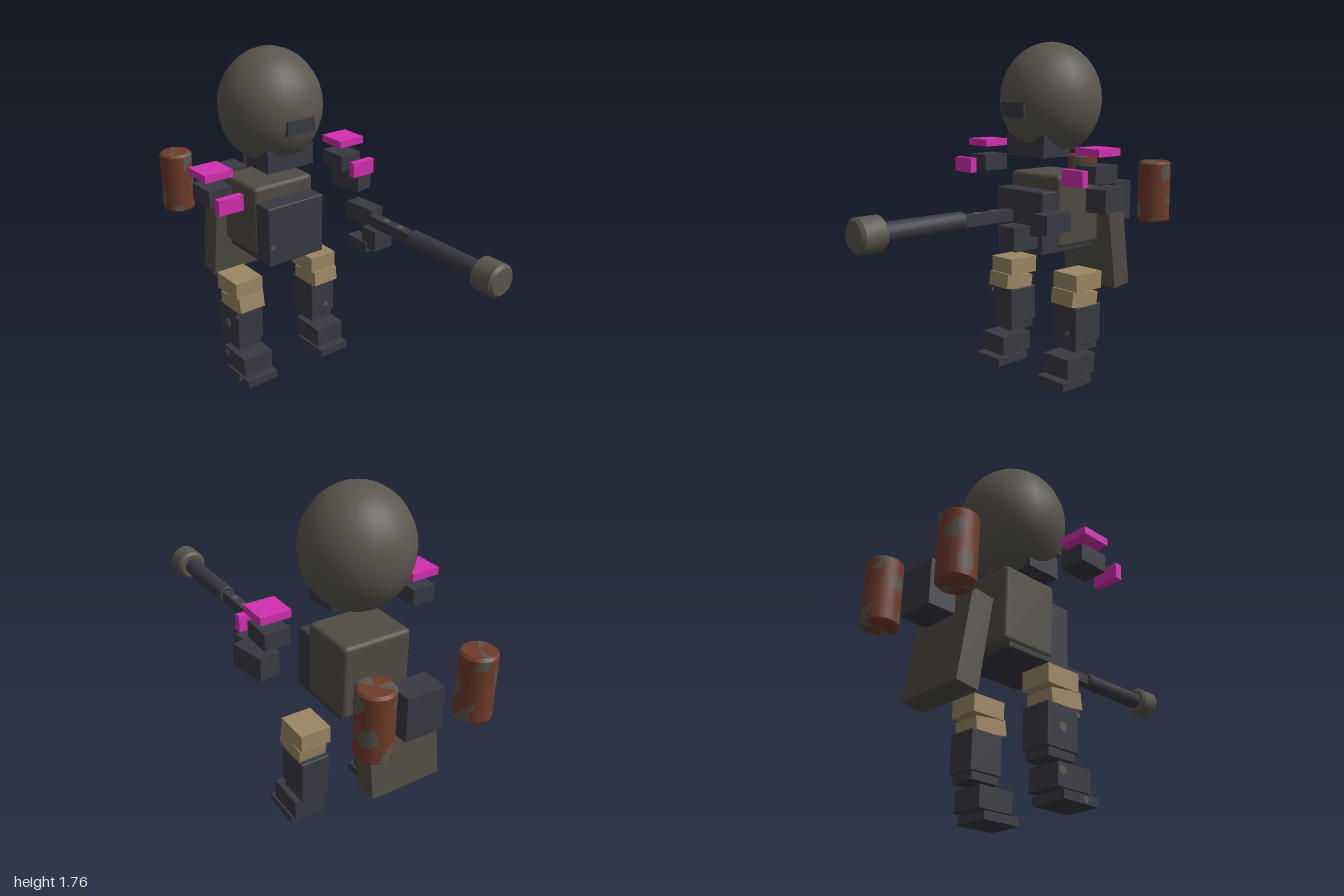
import * as THREE from 'three';
import { toCreasedNormals } from 'three/addons/utils/BufferGeometryUtils.js';
import { RoundedBoxGeometry } from 'three/addons/geometries/RoundedBoxGeometry.js';

const MID = 0.026; // z of the body's mirror plane

function material(name, color) {
  const m = new THREE.MeshStandardMaterial({ color });
  m.name = name;
  return m;
}

// Cylinder with small bevels; with a second material, wavy patches of worn paint
function drum(radius, height, bevel, mats, seed = 0, sides = 28, rows = 20) {
  const h = height / 2;
  const pts = [new THREE.Vector2(0, -h), new THREE.Vector2(radius - bevel, -h)];
  for (let i = 0; i <= rows; i++) pts.push(new THREE.Vector2(radius, -h + bevel + (height - 2 * bevel) * i / rows));
  pts.push(new THREE.Vector2(radius - bevel, h), new THREE.Vector2(0, h));
  const geo = toCreasedNormals(new THREE.LatheGeometry(pts, sides), 0.6);
  if (mats.length > 1) {
    const n = pts.length - 1;
    for (let s = 0; s < sides; s++) for (let j = 0; j < n; j++) {
      const a = s / sides * Math.PI * 2;
      const y = pts[j].y;
      const v = Math.sin(2 * a + 14 * y + seed) + Math.sin(3 * a - 31 * y + 2 * seed) + 0.6 * Math.sin(a + 40 * y);
      geo.addGroup((s * n + j) * 6, 6, v > 1.0 ? 1 : 0);
    }
  }
  return new THREE.Mesh(geo, mats.length > 1 ? mats : mats[0]);
}

export function createModel() {
  const root = new THREE.Group();
  const dark = material('dark metal', 0x393942);
  const worn = material('worn grey brown', 0x5b564e);
  const cloth = material('body grey brown', 0x514c44);
  const rust = material('rust red', 0x6f3b29);
  const tan = material('tan', 0x9c8763);
  const pink = material('magenta', 0xd42fb0);

  // Box given by its low and high limits on each axis
  function box(name, mat, [x0, x1], [y0, y1], [z0, z1], round = 0) {
    const s = [x1 - x0, y1 - y0, z1 - z0];
    const geo = round ? new RoundedBoxGeometry(...s, 2, round) : new THREE.BoxGeometry(...s);
    const m = new THREE.Mesh(geo, mat);
    m.position.set((x0 + x1) / 2, (y0 + y1) / 2, (z0 + z1) / 2);
    m.name = name;
    root.add(m);
    return m;
  }

  // Head, visor and jaw
  const head = new THREE.Mesh(new THREE.SphereGeometry(1, 20, 16), worn);
  head.scale.set(0.27, 0.297, 0.27);
  head.position.set(-0.37, 1.467, 0.025);
  head.name = 'head';
  root.add(head);
  box('visor', dark, [-0.17, -0.1], [1.38, 1.455], [-0.055, 0.108]);
  box('jaw', dark, [-0.38, -0.19], [1.175, 1.29], [-0.11, 0.17]);

  // Torso
  box('torso', cloth, [-0.56, -0.255], [0.705, 1.085], [-0.157, 0.212], 0.022);
  box('chest', dark, [-0.525, -0.15], [0.68, 1.005], [-0.145, 0.203], 0.008);

  // Back plate, pack and tanks
  const plate = box('backPlate', cloth, [-0.786, -0.668], [0.423, 0.881], [-0.162, 0.214]);
  plate.rotation.z = -0.14;
  box('pack', dark, [-0.915, -0.775], [0.78, 1.0], [-0.077, 0.123]);
  for (const side of [-1, 1]) {
    const tank = drum(0.088, 0.335, 0.012, [rust, worn], side + 2);
    tank.position.set(-0.913, 0.958, MID + side * 0.272);
    tank.name = side > 0 ? 'leftTank' : 'rightTank';
    root.add(tank);
  }

  // Legs and shoulders, mirrored across the body
  for (const side of [-1, 1]) {
    const span = (c, half) => [MID + side * c - half, MID + side * c + half];
    box('upperThigh', tan, [-0.43, -0.243], [0.497, 0.588], span(0.246, 0.082));
    const lower = box('lowerThigh', tan, [-0.405, -0.22], [0.413, 0.493], span(0.248, 0.076));
    lower.rotation.z = 0.13;
    box('shin', dark, [-0.43, -0.245], [0.214, 0.417], span(0.247, 0.079), 0.006);
    box('ankle', dark, [-0.417, -0.257], [0.176, 0.216], span(0.247, 0.07));
    box('foot', dark, [-0.38, -0.18], [0.05, 0.157], span(0.248, 0.088));
    box('sole', dark, [-0.352, -0.14], [0, 0.042], span(0.248, 0.094));
    box('shoulder', dark, [-0.368, -0.21], [1.07, 1.157], span(0.41, 0.065));
    box('shoulderPad', pink, [-0.365, -0.21], [1.204, 1.242], span(0.414, 0.078));
    box('shoulderFlap', pink, [-0.145, -0.108], [1.065, 1.145], span(0.415, 0.069));
  }

  // Right arm
  const arm = box('upperArm', dark, [-0.38, -0.19], [0.937, 1.053], [-0.504, -0.394]);
  arm.rotation.y = 0.2;
  const forearm = box('forearm', dark, [-0.123, 0.056], [0.845, 0.941], [-0.378, -0.292]);
  forearm.rotation.y = 0.09;
  box('hand', dark, [0, 0.14], [0.76, 0.815], [-0.267, -0.195]);
  box('grip', dark, [0.1, 0.2], [0.785, 0.892], [-0.32, -0.205]);

  // Gun along +x
  box('receiver', dark, [0.15, 0.445], [0.914, 0.968], [-0.257, -0.208]);
  for (const [name, r, x0, x1, bevel, mat] of [
    ['barrel', 0.045, 0.44, 0.875, 0.004, dark],
    ['muzzle', 0.08, 0.87, 1.0, 0.014, worn],
  ]) {
    const part = drum(r, x1 - x0, bevel, [mat], 0, 16, 1);
    part.rotation.z = -Math.PI / 2;
    part.position.set((x0 + x1) / 2, 0.943, -0.232);
    part.name = name;
    root.add(part);
  }

  // Small worn spots on the metal: x, y, z, radius and facing axis
  for (const [x, y, z, r, axis] of [
    [-0.345, 0.315, 0.355, 0.024, 'z'], [-0.355, 0.12, 0.363, 0.022, 'z'],
    [-0.25, 0.39, 0.355, 0.013, 'z'], [-0.22, 0.02, 0.369, 0.016, 'z'],
    [-0.149, 0.79, 0.18, 0.014, 'x'], [-0.244, 0.27, -0.24, 0.015, 'x'],
    [0.25, 0.969, -0.232, 0.018, 'y'], [0.35, 0.969, -0.232, 0.02, 'y'],
  ]) {
    const spot = new THREE.Mesh(new THREE.CylinderGeometry(r, r, 0.004, 9), worn);
    if (axis === 'z') spot.rotation.x = Math.PI / 2;
    if (axis === 'x') spot.rotation.z = Math.PI / 2;
    spot.position.set(x, y, z);
    spot.name = 'wornSpot';
    root.add(spot);
  }
  return root;
}
